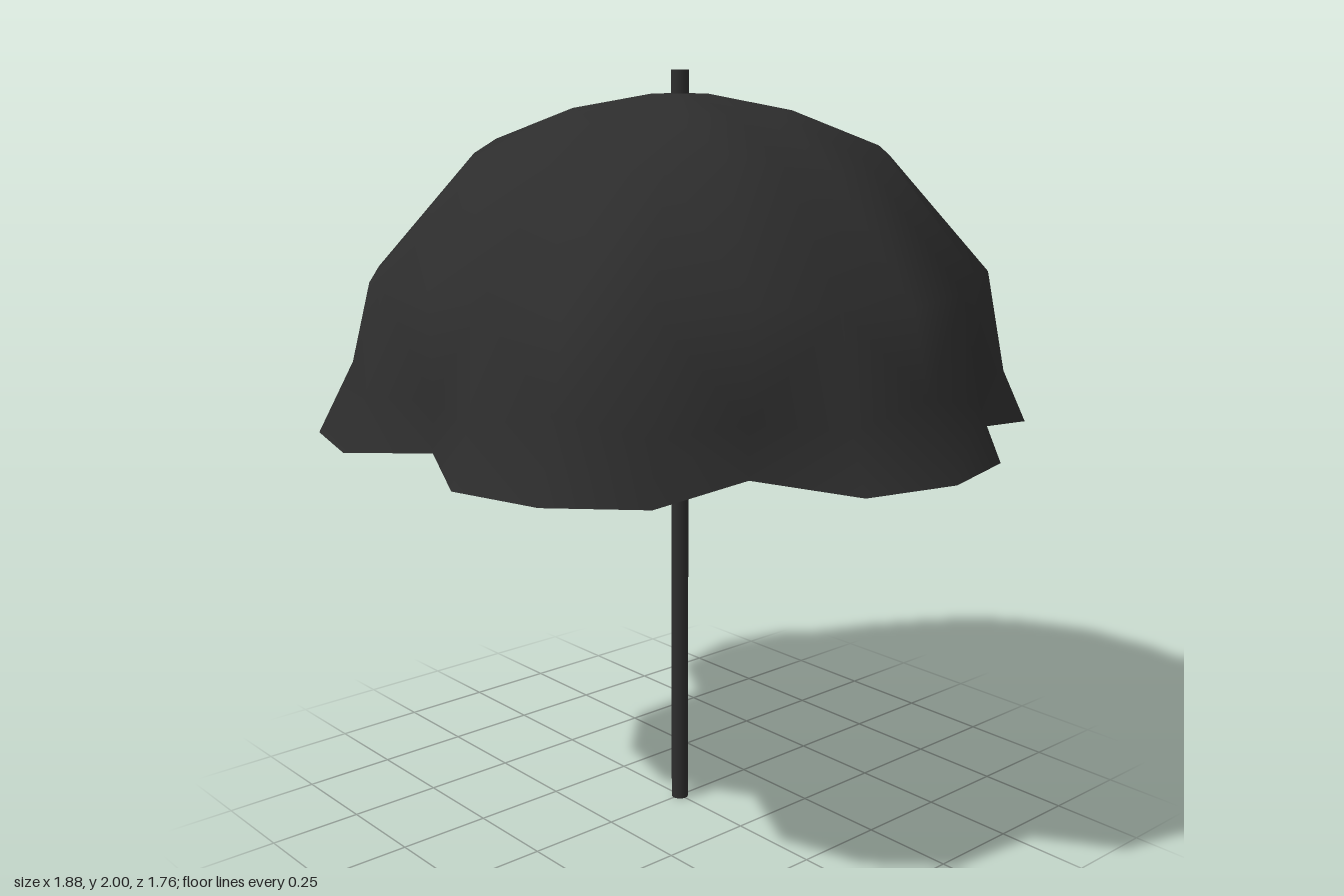
import * as THREE from 'three';

// Canopy profiles [radius, height] from crown to rim
const LOBE = [[0, 1.942], [0.075, 1.94], [0.305, 1.89], [0.545, 1.77], [0.797, 1.48], [0.847, 1.28], [0.94, 1.1]];
const FLANK = [[0, 1.942], [0.075, 1.94], [0.302, 1.893], [0.533, 1.79], [0.796, 1.495], [0.848, 1.235], [0.91, 1.1]];
const RIB = [[0, 1.942], [0.075, 1.94], [0.295, 1.902], [0.516, 1.82], [0.77, 1.51], [0.768, 1.25], [0.774, 1.125]];
const CYCLE = [LOBE, FLANK, RIB, FLANK]; // one of six scallops, 15 degrees a step
const SEGMENTS = 24;

function canopyGeometry() {
  const positions = [], index = [];
  const rings = LOBE.length;
  positions.push(0, LOBE[0][1], 0);
  for (let i = 1; i < rings; i++) {
    for (let j = 0; j < SEGMENTS; j++) {
      const a = (j / SEGMENTS) * Math.PI * 2;
      const [r, y] = CYCLE[j % 4][i];
      positions.push(r * Math.cos(a), y, r * Math.sin(a));
    }
  }
  const id = (i, j) => 1 + (i - 1) * SEGMENTS + (j % SEGMENTS);
  for (let j = 0; j < SEGMENTS; j++) {
    index.push(0, id(1, j + 1), id(1, j));
    for (let i = 1; i < rings - 1; i++) {
      const a = id(i, j), b = id(i, j + 1), c = id(i + 1, j), d = id(i + 1, j + 1);
      // mirror the diagonals about each lobe and rib
      if (j % 2) index.push(a, b, d, a, d, c);
      else index.push(a, b, c, b, d, c);
    }
  }
  const geometry = new THREE.BufferGeometry();
  geometry.setAttribute('position', new THREE.Float32BufferAttribute(positions, 3));
  geometry.setIndex(index);
  geometry.computeVertexNormals();
  return geometry;
}

export function createModel() {
  const group = new THREE.Group();
  group.name = 'parasol';

  const fabric = new THREE.MeshStandardMaterial({ color: 0x2d2d2d, side: THREE.DoubleSide });
  fabric.name = 'charcoal';

  // Scalloped six-lobed canopy, open underneath
  const canopy = new THREE.Mesh(canopyGeometry(), fabric);
  canopy.name = 'canopy';
  group.add(canopy);

  // Straight pole passing through the crown
  const pole = new THREE.Mesh(new THREE.CylinderGeometry(0.023, 0.023, 2, 16), fabric);
  pole.name = 'pole';
  pole.position.y = 1;
  group.add(pole);

  return group;
}
